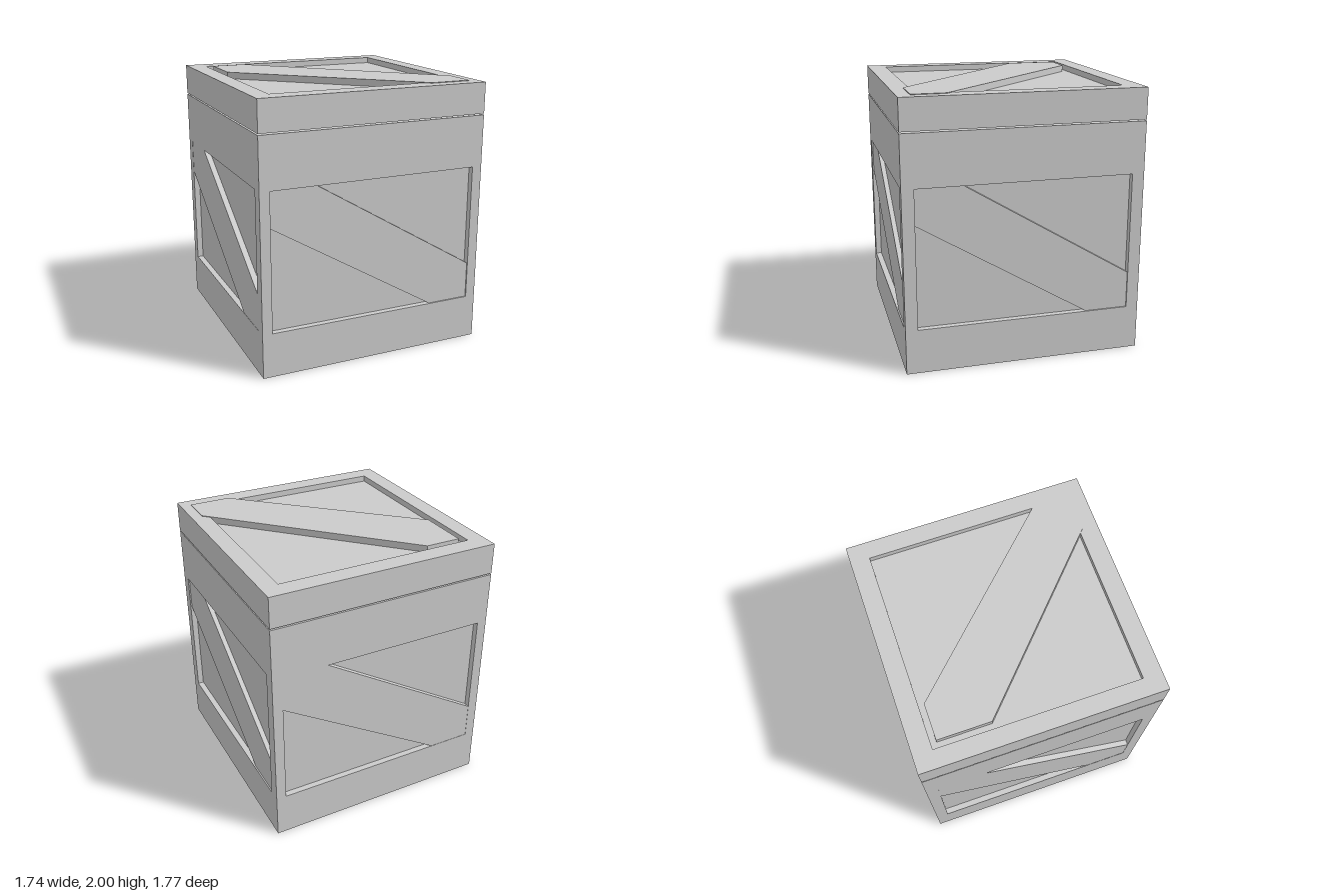
import * as THREE from 'three';

const HALF_X = 0.87, HALF_Z = 0.885;   // half width and depth of the crate
const BODY_TOP = 1.755, LID_BOTTOM = 1.765, RIM_TOP = 1.995;
const DEPTH = 0.045;                   // how far the panels are recessed

export function createModel() {
  const crate = new THREE.Group();
  crate.name = 'crate';
  const material = new THREE.MeshStandardMaterial({ color: 0xcccccc, flatShading: true });

  const add = (parent, name, geometry) => {
    const mesh = new THREE.Mesh(geometry, material);
    mesh.name = name;
    parent.add(mesh);
    return mesh;
  };
  const box = (parent, name, w, d, y0, y1) =>
    add(parent, name, new THREE.BoxGeometry(w, y1 - y0, d)).position.y = (y0 + y1) / 2;

  const points = (list) => list.map(([x, y]) => new THREE.Vector2(x, y));
  const rectangle = (x, y0, y1) => points([[-x, y0], [x, y0], [x, y1], [-x, y1]]);
  const slab = (outline, depth, hole) => {
    const shape = new THREE.Shape(outline);
    if (hole) shape.holes.push(new THREE.Path(hole));
    return new THREE.ExtrudeGeometry(shape, { depth, bevelEnabled: false });
  };
  // Lays a slab flat: its y becomes -z and its thickness rises from y0
  const flat = (geometry, y0) => geometry.rotateX(-Math.PI / 2).translate(0, y0, 0);

  // Body core, whose faces are the recessed panels
  const coreX = HALF_X - DEPTH, coreZ = HALF_Z - DEPTH;
  box(crate, 'bodyCore', coreX * 2, coreZ * 2, DEPTH, BODY_TOP);

  // Rim under the base
  add(crate, 'baseRim', flat(
    slab(rectangle(coreX, -coreZ, coreZ), DEPTH, rectangle(0.79, -0.8, 0.8)), 0));

  // Four sides, each a frame with a diagonal plank; the planks sit at slightly different depths
  const sides = [
    { name: 'front', half: HALF_X, out: coreZ, gap: 0.01 },
    { name: 'left', half: coreZ, out: coreX, gap: 0.01 },
    { name: 'back', half: HALF_X, out: coreZ, gap: 0.002 },
    { name: 'right', half: coreZ, out: coreX, gap: 0.002 },
  ];
  const plankOutline = points([
    [-0.795, 1.37], [-0.795, 1.105], [0.47, 0.335], [0.795, 0.335], [0.795, 0.61], [-0.45, 1.37],
  ]);
  sides.forEach(({ name, half, out, gap }, i) => {
    const side = new THREE.Group();
    side.name = name + 'Side';
    side.rotation.y = i * Math.PI / 2;
    crate.add(side);
    add(side, name + 'Frame',
      slab(rectangle(half, 0, BODY_TOP), DEPTH, rectangle(0.795, 0.335, 1.37))).position.z = out;
    add(side, name + 'Plank', slab(plankOutline, DEPTH - gap)).position.z = out;
  });

  // Lid with raised rim and diagonal plank
  const lid = new THREE.Group();
  lid.name = 'lid';
  crate.add(lid);
  const panelTop = RIM_TOP - DEPTH;
  box(lid, 'lidPanel', HALF_X * 2, HALF_Z * 2, LID_BOTTOM, panelTop);
  add(lid, 'lidRim', flat(
    slab(rectangle(HALF_X, -HALF_Z, HALF_Z), DEPTH, rectangle(0.74, -0.745, 0.745)), panelTop));
  add(lid, 'lidPlank', flat(slab(points([
    [-0.69, 0.705], [-0.69, 0.315], [0.48, -0.79], [0.79, -0.79], [0.79, -0.54], [-0.425, 0.705],
  ]), 2 - panelTop), panelTop));

  return crate;
}
